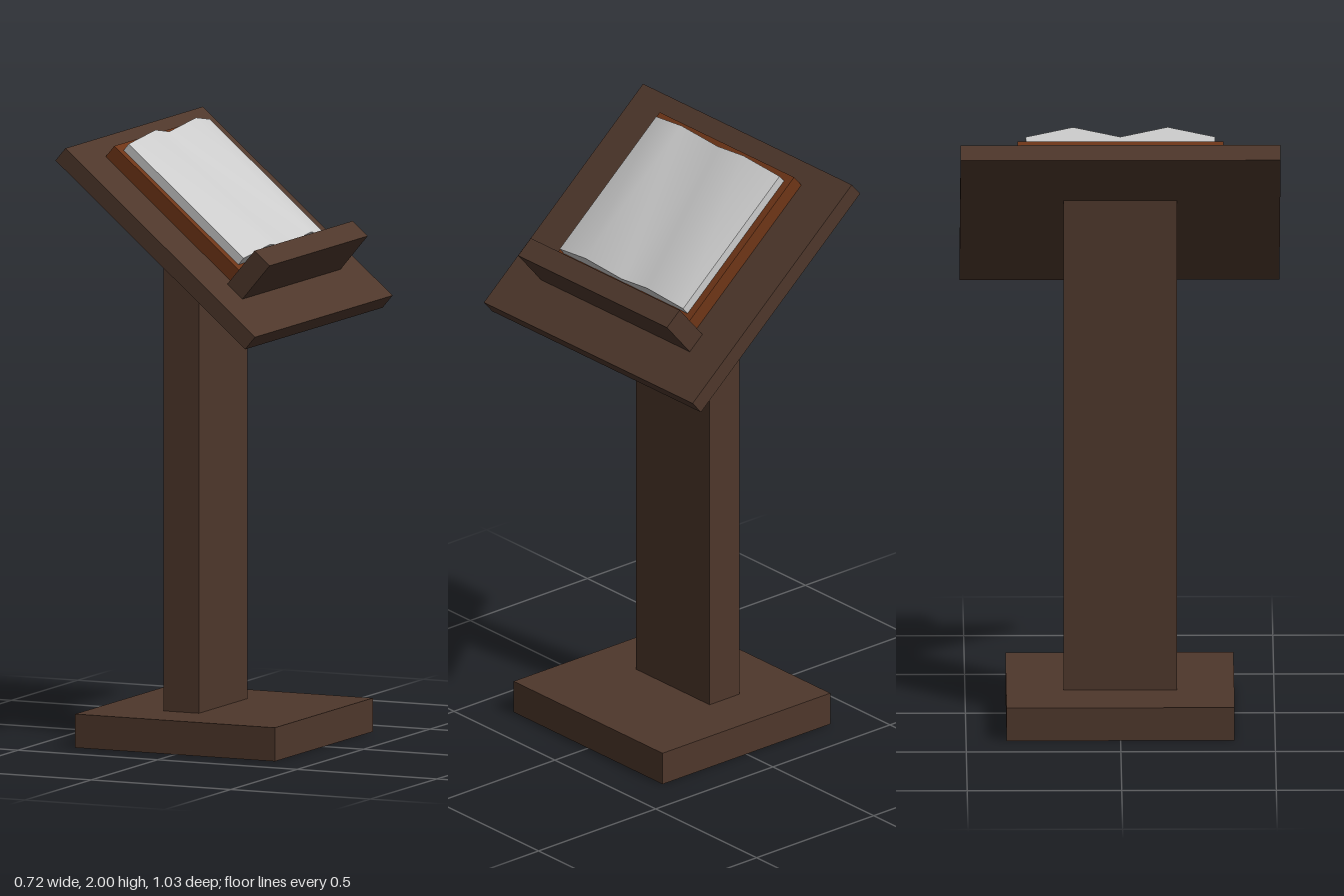
import * as THREE from 'three';
import { toCreasedNormals } from 'three/addons/utils/BufferGeometryUtils.js';

const wood = new THREE.MeshStandardMaterial({ color: 0x4e372b });
const leather = new THREE.MeshStandardMaterial({ color: 0x6e3517 });
const paper = new THREE.MeshStandardMaterial({ color: 0xcccccc });

const TILT = -0.702; // slope of the reading surface

function add(parent, name, geometry, material) {
  const mesh = new THREE.Mesh(geometry, material);
  mesh.name = name;
  parent.add(mesh);
  return mesh;
}

// Box given by its x and y limits and its full depth, centred on z = 0
function block(parent, name, [x0, x1], [y0, y1], depth, material) {
  const mesh = add(parent, name, new THREE.BoxGeometry(x1 - x0, y1 - y0, depth), material);
  mesh.position.set((x0 + x1) / 2, (y0 + y1) / 2, 0);
  return mesh;
}

function extrude(points, depth) {
  const shape = new THREE.Shape(points.map(([x, y]) => new THREE.Vector2(x, y)));
  return new THREE.ExtrudeGeometry(shape, { depth, bevelEnabled: false });
}

export function createModel() {
  const model = new THREE.Group();
  model.name = 'lectern';

  block(model, 'base', [-0.358, 0.358], [0, 0.11], 0.738, wood);

  // Post, its top cut to the slope of the board
  const post = extrude([[-0.13, 0.11], [-0.003, 0.11], [-0.003, 1.65], [-0.13, 1.757]], 0.366);
  add(model, 'post', post.translate(0, 0, -0.183), wood);

  // Tilted top: x runs down the slope, y points out of the board
  const top = new THREE.Group();
  top.name = 'tiltedTop';
  top.position.y = 1.6725;
  top.rotation.z = TILT;
  model.add(top);

  block(top, 'board', [-0.445, 0.445], [-0.0275, 0.0275], 1.035, wood);
  block(top, 'ledge', [0.2226, 0.2936], [0.0275, 0.178], 0.738, wood);
  block(top, 'bookCover', [-0.371, 0.2226], [0.0275, 0.0757], 0.666, leather);

  // Open pages: two humps meeting in a valley, extruded along the slope
  const pages = extrude([
    [-0.306, 0.0757], [0.306, 0.0757], [0.306, 0.105],
    [0.153, 0.14], [0, 0.105], [-0.153, 0.14], [-0.306, 0.105],
  ], 0.539);
  pages.rotateY(Math.PI / 2).translate(-0.345, 0, 0);
  add(top, 'bookPages', toCreasedNormals(pages, 0.7), paper);

  return model;
}
